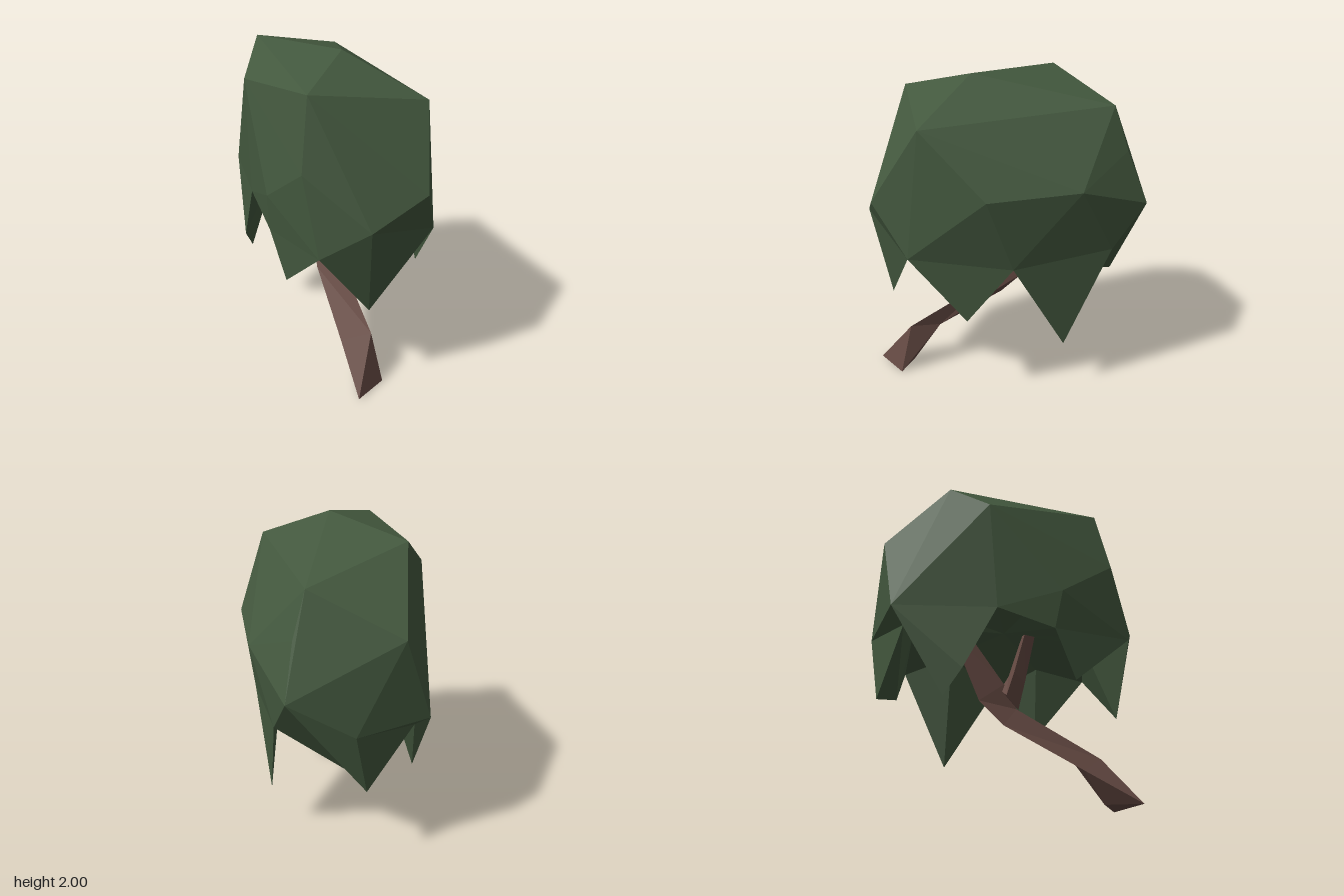
import * as THREE from 'three';
import { ConvexGeometry } from 'three/addons/geometries/ConvexGeometry.js';

const leaf = new THREE.MeshStandardMaterial({ color: 0x43583e, flatShading: true, side: THREE.DoubleSide });
leaf.name = 'leaf green';
const bark = new THREE.MeshStandardMaterial({ color: 0x654a43, flatShading: true });
bark.name = 'bark brown';

function facets(triangles) {
  const g = new THREE.BufferGeometry();
  g.setAttribute('position', new THREE.Float32BufferAttribute(triangles.flat(2), 3));
  g.computeVertexNormals();
  return g;
}

// Joins a row of three-sided cross-sections (counter-clockwise seen from above) and caps both ends
function loft(sections) {
  const tris = [];
  for (let s = 0; s < sections.length - 1; s++) {
    const a = sections[s], b = sections[s + 1];
    a.forEach((p, i) => {
      const j = (i + 1) % a.length;
      tris.push([p, a[j], b[i]], [a[j], b[j], b[i]]);
    });
  }
  const first = sections[0], last = sections[sections.length - 1];
  tris.push([first[0], first[2], first[1]], [last[0], last[1], last[2]]);
  return facets(tris);
}

// Convex shell without the faces that lie wholly between rim points
function openShell(upper, rim) {
  const hull = new ConvexGeometry([...upper, ...rim].map((p) => new THREE.Vector3(...p)));
  const pos = hull.getAttribute('position');
  const onRim = (v) => rim.some((p) => Math.hypot(p[0] - v[0], p[1] - v[1], p[2] - v[2]) < 1e-4);
  const tris = [];
  for (let i = 0; i < pos.count; i += 3) {
    const tri = [0, 1, 2].map((k) => [pos.getX(i + k), pos.getY(i + k), pos.getZ(i + k)]);
    if (!tri.every(onRim)) tris.push(tri);
  }
  return facets(tris);
}

function add(group, name, geometry, material) {
  const mesh = new THREE.Mesh(geometry, material);
  mesh.name = name;
  group.add(mesh);
}

export function createModel() {
  const tree = new THREE.Group();
  tree.name = 'leaningTree';

  // Leaning three-sided trunk, twisting above the foot
  add(tree, 'trunk', loft([
    [[-0.145, 0.01, 0.825], [0.06, 0, 0.70], [-0.08, 0.01, 0.60]],
    [[0.01, 0.32, 0.62], [-0.02, 0.30, 0.42], [-0.135, 0.20, 0.47]],
    [[-0.02, 0.61, 0.08], [-0.01, 0.64, -0.14], [-0.13, 0.46, -0.02]],
    [[-0.03, 0.77, 0], [0, 0.76, -0.19], [-0.11, 0.62, -0.17]],
    [[-0.05, 1.12, -0.25], [-0.02, 1.10, -0.34], [-0.08, 1.08, -0.34]],
  ]), bark);

  // Side branch rising from the bend
  add(tree, 'branch', loft([
    [[-0.03, 0.60, 0.09], [-0.01, 0.74, -0.02], [-0.12, 0.66, 0]],
    [[-0.05, 0.78, 0.13], [-0.02, 0.83, 0.03], [-0.12, 0.82, 0.05]],
    [[-0.06, 1.12, 0.20], [-0.03, 1.12, 0.12], [-0.09, 1.12, 0.13]],
  ]), bark);

  // Lower rim of the crown, in order from the front round the +x side
  const rim = {
    front: [-0.09, 1.15, 0.84],
    frontLeft: [0.39, 1.0, 0.63],
    left: [0.48, 0.92, 0.01],
    backLeft: [0.41, 0.98, -0.62],
    backCorner: [0.36, 1.25, -0.84],
    back: [-0.03, 1.01, -0.85],
    backRight: [-0.48, 1.04, -0.74],
    right: [-0.53, 1.05, -0.12],
    rightFore: [-0.51, 0.95, 0.23],
    frontRight: [-0.36, 0.98, 0.73],
  };

  // Faceted crown
  add(tree, 'crown', openShell([
    [-0.03, 2.0, 0.18], [-0.38, 1.98, -0.41],
    [0.36, 1.77, 0.54], [-0.36, 1.88, 0.56], [0.22, 1.83, -0.65], [-0.53, 1.78, -0.17],
    [-0.30, 1.57, -0.81], [0.30, 1.57, -0.72], [-0.42, 1.46, 0.63], [-0.53, 1.2, 0.28],
    [0.54, 1.38, 0.18], [0.52, 1.40, -0.39], [0.25, 1.32, 0.82],
  ], Object.values(rim)), leaf);

  // Tips of the hanging leaf points, and the notch between two of them
  const r = rim;
  const tip = {
    front: [-0.05, 0.57, 0.72],
    leftFore: [0.45, 0.58, 0.29],
    leftRear: [0.42, 0.34, -0.33],
    back: [-0.11, 0.59, -0.79],
    backInner: [-0.11, 0.59, -0.67],
    rightRear: [-0.48, 0.49, -0.42],
    rightMid: [-0.545, 0.64, -0.32],
    rightFore: [-0.45, 0.65, 0.36],
  };
  const backNotch = [-0.41, 0.95, -0.66];
  add(tree, 'hangingLeaves', facets([
    [r.frontRight, tip.front, r.front],
    [r.front, tip.front, r.frontLeft],
    [r.frontLeft, tip.leftFore, r.left],
    [r.left, tip.leftRear, r.backLeft],
    [r.backLeft, tip.backInner, r.backCorner],
    [r.backCorner, tip.backInner, tip.back],
    [r.backCorner, tip.back, r.back],
    [r.back, tip.back, backNotch],
    [r.back, backNotch, r.backRight],
    [tip.back, tip.backInner, backNotch],
    [r.backRight, backNotch, tip.rightRear],
    [r.backRight, tip.rightRear, tip.rightMid],
    [r.backRight, tip.rightMid, r.right],
    [r.rightFore, tip.rightFore, r.frontRight],
  ]), leaf);

  // Inner sides of the leaf points: a chain from notch over the tips to the next notch, and its inner top
  const inner = [
    [[r.frontRight, tip.front, r.frontLeft], [-0.01, 1.1, 0.53]],
    [[r.frontLeft, tip.leftFore, r.left], [0.36, 1.06, 0.29]],
    [[r.left, tip.leftRear, r.backLeft], [0.335, 1.1, -0.31]],
    [[r.backLeft, tip.backInner, backNotch], [-0.05, 1.1, -0.59]],
    [[backNotch, tip.rightRear, tip.rightMid, r.right], [-0.29, 1.1, -0.38]],
    [[r.right, r.rightFore], [-0.40, 1.08, 0.06]],
    [[r.rightFore, tip.rightFore, r.frontRight], [-0.33, 1.06, 0.36]],
  ];
  const middle = [-0.03, 1.13, 0];
  const underside = [];
  for (const [chain, top] of inner) {
    for (let i = 0; i < chain.length - 1; i++) underside.push([chain[i], top, chain[i + 1]]);
    underside.push([chain[0], middle, top], [top, middle, chain[chain.length - 1]]);
  }
  add(tree, 'crownUnderside', facets(underside), leaf);

  return tree;
}
